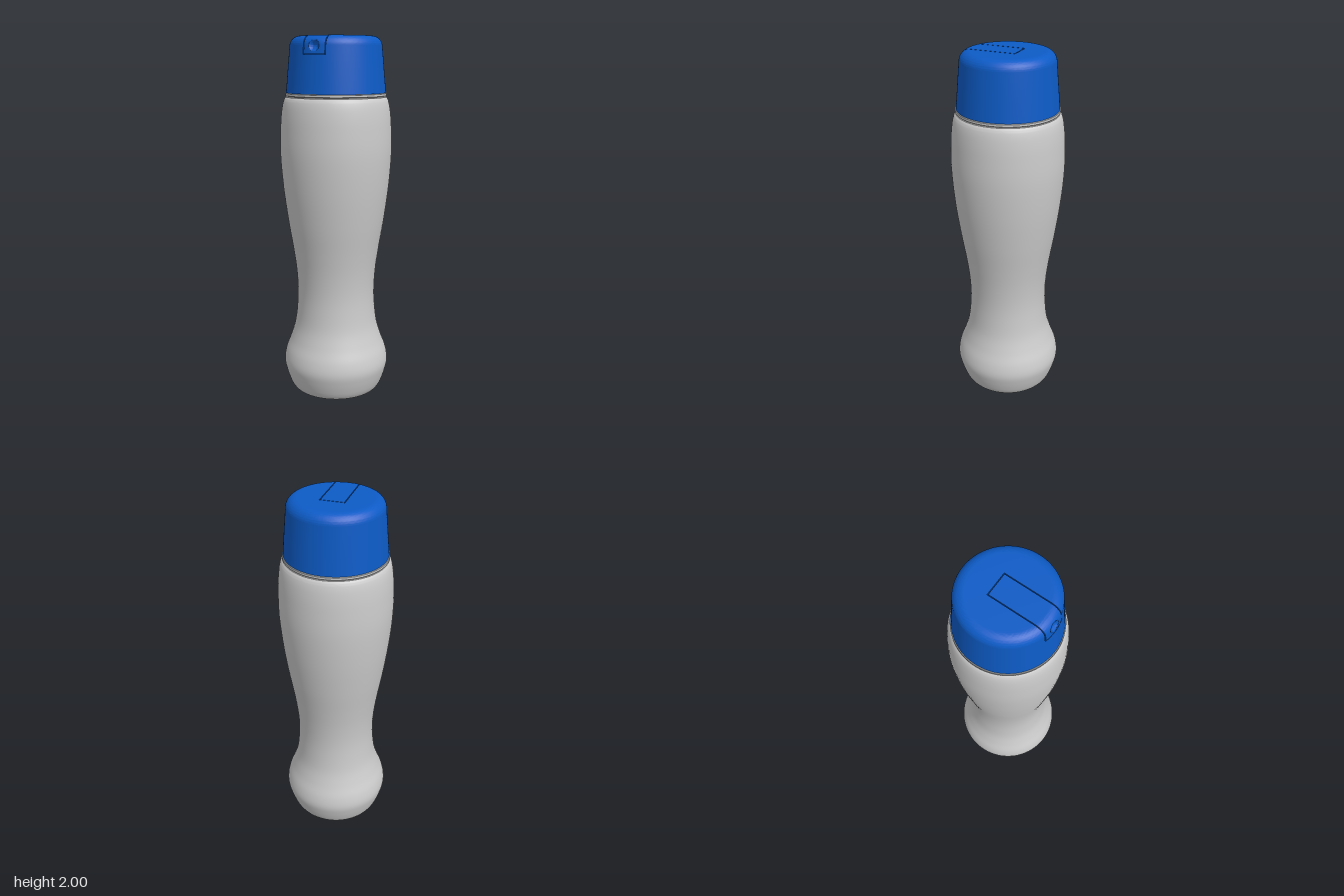
import * as THREE from 'three';
import { mergeGeometries, toCreasedNormals } from 'three/addons/utils/BufferGeometryUtils.js';

const HALF = 0.065, GAP = 0.004, GROOVE = 0.01;      // flip lid half width, groove width and depth
const LID_BACK = -0.066, LID_FRONT = 0.326;          // lid ends, as lengths along the cap profile
const FLAT = 0.195, R = 0.055, TILT = 1.48;          // flat top radius, edge rounding, wall angle
const ARC_END = FLAT + R * TILT, END = ARC_END + 0.25;

const range = (a, b, n) => Array.from({ length: n + 1 }, (_, i) => a + (b - a) * i / n);

// Cap profile by length from the centre of the top: radius, height and normal angle
function profile(s) {
  if (s <= FLAT) return { r: s, y: 2, t: 0 };
  const t = Math.min((s - FLAT) / R, TILT), run = Math.max(0, s - ARC_END);
  return {
    r: FLAT + R * Math.sin(t) + run * Math.cos(t),
    y: 2 - R + R * Math.cos(t) - run * Math.sin(t),
    t
  };
}

// Surface from a grid of points
function grid(rows, cols, point) {
  const pos = [], idx = [];
  rows.forEach((row, i) => cols.forEach((col, j) => {
    pos.push(...point(row, col));
    if (i && j) {
      const d = i * cols.length + j, c = d - 1, b = d - cols.length, a = b - 1;
      idx.push(a, c, b, b, c, d);
    }
  }));
  const g = new THREE.BufferGeometry();
  g.setAttribute('position', new THREE.Float32BufferAttribute(pos, 3));
  g.setIndex(idx);
  return g;
}

function capGeometry() {
  const lengths = [
    ...range(HALF, FLAT, 8), ...range(FLAT, ARC_END, 28).slice(1),
    ...range(ARC_END, LID_FRONT - GAP, 16).slice(1), LID_FRONT, ...range(LID_FRONT, END, 6).slice(1)
  ];

  // Left and right of the lid strip
  const side = start => grid(lengths, range(0, 1, 56), (s, f) => {
    const { r, y } = profile(s);
    const a0 = Math.asin(Math.min(1, HALF / r));
    const a = start + a0 + (Math.PI - 2 * a0) * f;
    return [r * Math.sin(a), y, r * Math.cos(a)];
  });

  // Strip through the middle; state 0 = cap, 1 = groove floor, 2 = lid
  const mark = (list, state) => list.map(v => ({ v, state }));
  const inner = HALF - GAP;
  const cols = [
    ...mark([-HALF], 0), ...mark([-HALF, -inner], 1), ...mark(range(-inner, inner, 40), 2),
    ...mark([inner, HALF], 1), ...mark([HALF], 0)
  ];
  const lidEnd = LID_FRONT - GAP;
  const rows = [
    ...mark(lengths.filter(s => s > 0.07).map(s => -s).reverse(), 0), ...mark([LID_BACK], 0),
    ...mark([LID_BACK, LID_BACK + GAP], 1), ...mark([LID_BACK + GAP, 0], 2),
    ...mark(lengths.filter(s => s < lidEnd - 1e-6), 2), ...mark([lidEnd], 2),
    ...mark([lidEnd, LID_FRONT], 1),
    ...mark(lengths.filter(s => s >= LID_FRONT), 0)
  ];
  const strip = grid(rows, cols, (row, col) => {
    const s = row.v, x = col.v, sign = s < 0 ? -1 : 1;
    const { r, y, t } = profile(Math.abs(s));
    const k = THREE.MathUtils.clamp((r - 0.08) / 0.1, 0, 1);
    const z = Math.sqrt(r * r - k * x * x);
    const state = Math.min(row.state, col.state);
    let depth = state === 1 ? GROOVE : 0;
    // round finger dimple in the front of the lid
    const d = Math.hypot(x, s - 0.279) / 0.03;
    if (state === 2 && d < 1) depth = 0.018 * (1 - d * d);
    return [x, y - depth * Math.cos(t), sign * (z - depth * Math.sin(t))];
  });

  return toCreasedNormals(mergeGeometries([side(0), side(Math.PI), strip]), 0.6);
}

function lathe(points, segments = 96) {
  return toCreasedNormals(new THREE.LatheGeometry(points, segments), 0.6);
}

export function createModel() {
  const group = new THREE.Group();
  const grey = new THREE.MeshStandardMaterial({ color: 0xcccccc });
  const blue = new THREE.MeshStandardMaterial({ color: 0x0d5bc6 });
  const add = (name, geometry, material) => {
    const mesh = new THREE.Mesh(geometry, material);
    mesh.name = name;
    group.add(mesh);
  };
  const v = (x, y) => new THREE.Vector2(x, y);

  // Waisted bottle with a flat base and a rounded shoulder
  const wall = new THREE.SplineCurve([
    v(0.255, 0.012), v(0.27, 0.04), v(0.29, 0.1), v(0.301, 0.16), v(0.29, 0.225), v(0.262, 0.3),
    v(0.236, 0.39), v(0.223, 0.5), v(0.22, 0.6), v(0.227, 0.71), v(0.243, 0.83), v(0.269, 0.99),
    v(0.294, 1.18), v(0.308, 1.37), v(0.305, 1.52), v(0.297, 1.61), v(0.286, 1.66), v(0.274, 1.679)
  ]).getPoints(90);
  add('bottleBody', lathe([v(0, 0), v(0.238, 0), v(0.248, 0.004), ...wall, v(0.262, 1.68)]), grey);

  // Collar ring under the cap
  add('collar', lathe([
    v(0.262, 1.676), v(0.262, 1.684), v(0.274, 1.684), v(0.277, 1.687), v(0.277, 1.698),
    v(0.275, 1.7), v(0.22, 1.7)
  ]), grey);

  // Cap with a grooved flip lid
  add('capWithFlipLid', capGeometry(), blue);
  return group;
}
